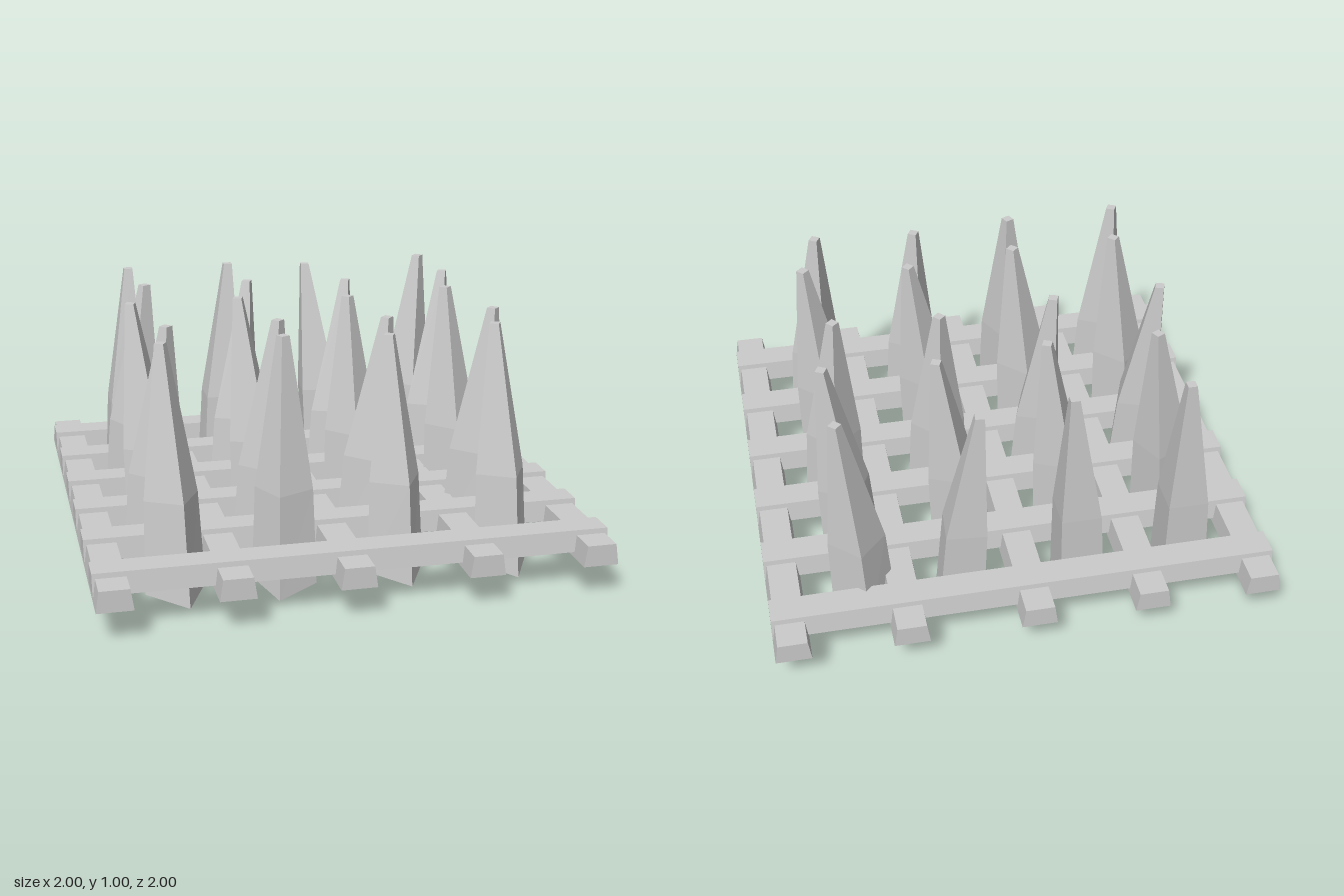
import * as THREE from 'three';

const material = new THREE.MeshStandardMaterial({ color: 0xcccccc, flatShading: true, side: THREE.DoubleSide });

// Wooden bar lying along z, narrower at the top than at the bottom
function makeBar(name, width) {
  const geo = new THREE.BoxGeometry(width, 0.085, 2);
  const pos = geo.attributes.position;
  for (let i = 0; i < pos.count; i++) {
    if (pos.getY(i) > 0) pos.setX(i, pos.getX(i) * 0.82);
  }
  geo.computeVertexNormals();
  const bar = new THREE.Mesh(geo, material);
  bar.name = name;
  return bar;
}

// Four-sided stake lofted through base, shoulder and tip; the base is cut at a slant
function makeStake([cx, cz, tx, tz, degrees], height) {
  const angle = THREE.MathUtils.degToRad(degrees);
  const cos = Math.cos(angle), sin = Math.sin(angle);
  const dx = tx - cx, dz = tz - cz, lean = Math.hypot(dx, dz);
  const corners = [[1, 1], [1, -1], [-1, -1], [-1, 1]];
  const levels = [
    { shift: 0, half: 0.09 },
    { shift: 0.28, half: 0.08, y: 0.42 },
    { shift: 1, half: 0.018, y: height },
  ];
  const points = [], index = [];
  for (const { shift, half, y } of levels) {
    for (const [u, v] of corners) {
      const x = (u * cos - v * sin) * half, z = (u * sin + v * cos) * half;
      const slantY = 0.045 + 0.27 * (x * dx + z * dz) / lean;
      points.push(cx + dx * shift + x, y ?? slantY, cz + dz * shift + z);
    }
  }
  for (let level = 0; level < 2; level++) {
    for (let i = 0; i < 4; i++) {
      const a = level * 4 + i, b = level * 4 + (i + 1) % 4;
      index.push(a, b, b + 4, a, b + 4, a + 4);
    }
  }
  index.push(8, 9, 10, 8, 10, 11, 0, 2, 1, 0, 3, 2);
  const indexed = new THREE.BufferGeometry();
  indexed.setAttribute('position', new THREE.Float32BufferAttribute(points, 3));
  indexed.setIndex(index);
  const geo = indexed.toNonIndexed();
  geo.computeVertexNormals();
  const stake = new THREE.Mesh(geo, material);
  stake.name = 'stake';
  return stake;
}

export function createModel() {
  const model = new THREE.Group();
  model.name = 'spikeTrap';

  // Lattice: lower bars run front to back, upper bars run side to side
  const lattice = new THREE.Group();
  lattice.name = 'lattice';
  for (const x of [-0.93, -0.48, -0.025, 0.475, 0.93]) {
    const bar = makeBar('lowerBar', 0.14);
    bar.position.set(x, 0.1825, 0);
    lattice.add(bar);
  }
  for (const z of [-0.825, -0.495, -0.165, 0.165, 0.495, 0.825]) {
    const bar = makeBar('upperBar', 0.14);
    bar.rotation.y = Math.PI / 2;
    bar.position.set(0, 0.2025, z);
    lattice.add(bar);
  }
  model.add(lattice);

  // Stakes, row by row from the back: base x, base z, tip x, tip z, turn in degrees
  const stakes = new THREE.Group();
  stakes.name = 'stakes';
  const rows = [
    [[-0.69, -0.65, -0.65, -0.72, 0], [-0.26, -0.65, -0.2, -0.72, 0],
      [0.23, -0.66, 0.16, -0.73, 5], [0.615, -0.67, 0.69, -0.7, 43]],
    [[-0.705, -0.33, -0.62, -0.38, -27], [-0.26, -0.32, -0.18, -0.36, 24],
      [0.175, -0.33, 0.26, -0.37, 23], [0.62, -0.33, 0.7, -0.36, 27]],
    [[-0.66, 0.015, -0.72, -0.06, 20], [-0.215, 0.01, -0.275, -0.06, 20],
      [0.205, 0, 0.195, -0.07, 47], [0.65, 0.015, 0.62, -0.06, 47]],
    [[-0.7, 0.33, -0.63, 0.335, 45], [-0.26, 0.33, -0.19, 0.335, 45],
      [0.175, 0.315, 0.26, 0.31, 45], [0.625, 0.325, 0.695, 0.335, 45]],
    [[-0.66, 0.635, -0.685, 0.575, 28], [-0.235, 0.645, -0.22, 0.57, -25],
      [0.22, 0.625, 0.195, 0.57, 29], [0.655, 0.635, 0.62, 0.57, 29]],
  ];
  for (const row of rows) {
    row.forEach((data, column) => stakes.add(makeStake(data, column === 2 ? 0.99 : 1.01)));
  }
  model.add(stakes);
  return model;
}
